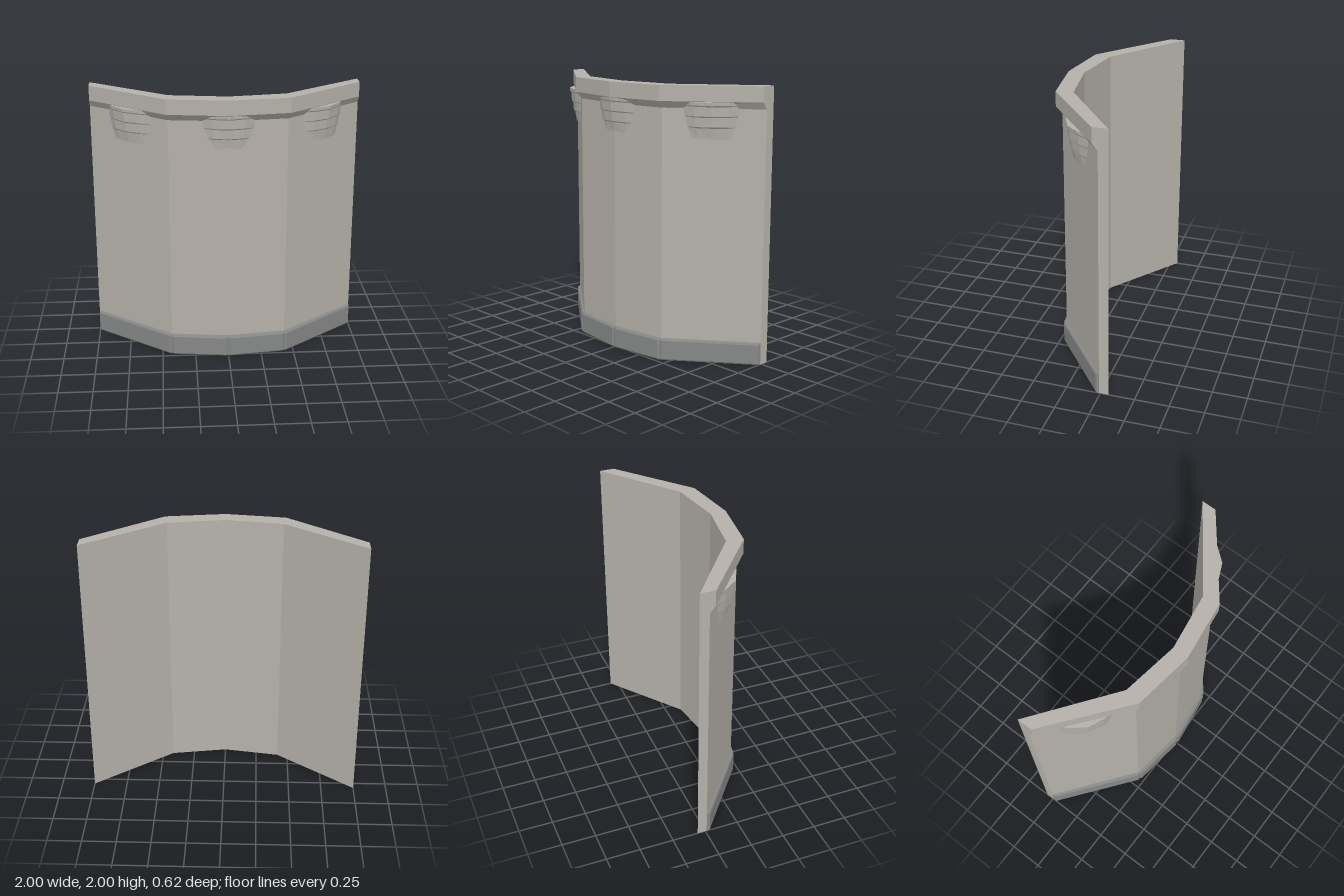
import * as THREE from 'three';

const stone = new THREE.MeshStandardMaterial({ color: 0xb5b1a9 });
stone.name = 'warm grey stone';
const plinth = new THREE.MeshStandardMaterial({ color: 0x868787 });
plinth.name = 'dark grey plinth';

// Plan lines [x, z], from the left edge of the plan to the right
const mirrored = (end, corner, mid) => [[-1, end], [-corner[0], corner[1]], [0, mid], corner, [1, end]];
const backLine = mirrored(-0.31, [0.42, 0.12], 0.185);
const wallLine = mirrored(-0.24, [0.428, 0.2], 0.255);
const baseLine = mirrored(-0.215, [0.435, 0.225], 0.282);
const corniceLine = mirrored(-0.2, [0.44, 0.243], 0.303);

const mix = (a, b, t) => [a[0] + (b[0] - a[0]) * t, a[1] + (b[1] - a[1]) * t];
const at = (p, y) => [p[0], y, p[1]];

// Flat-faced loft through closed convex rings, capped at both ends
function loft(name, rings, material) {
  const n = rings[0].length;
  const index = [];
  for (let i = 0; i < rings.length - 1; i++) {
    for (let j = 0; j < n; j++) {
      const a = i * n + j, b = i * n + (j + 1) % n;
      index.push(a, a + n, b + n, a, b + n, b);
    }
  }
  const last = (rings.length - 1) * n;
  for (let j = 1; j < n - 1; j++) {
    index.push(0, j, j + 1, last, last + j + 1, last + j);
  }
  const indexed = new THREE.BufferGeometry();
  indexed.setAttribute('position', new THREE.Float32BufferAttribute(rings.flat(2), 3));
  indexed.setIndex(index);
  const geometry = indexed.toNonIndexed();
  geometry.computeVertexNormals();
  const mesh = new THREE.Mesh(geometry, material);
  mesh.name = name;
  return mesh;
}

// Bevelled skirting block on one wall segment
function baseBlock(i) {
  const length = Math.hypot(wallLine[i + 1][0] - wallLine[i][0], wallLine[i + 1][1] - wallLine[i][1]);
  const inset = 0.018 / length;
  const section = (t, depth) => {
    const w = mix(wallLine[i], wallLine[i + 1], t);
    const f = mix(w, mix(baseLine[i], baseLine[i + 1], t), depth);
    const bevel = mix(w, f, 0.7);
    return [at(w, 0), at(bevel, 0), at(f, 0.01), at(f, 0.148), at(bevel, 0.16), at(w, 0.164)];
  };
  // The outer ends of the wall stay square
  const rings = [];
  rings.push(section(0, i === 0 ? 1 : 0.5));
  if (i > 0) rings.push(section(inset, 1));
  if (i < 3) rings.push(section(1 - inset, 1));
  rings.push(section(1, i === 3 ? 1 : 0.5));
  return loft('baseBlock', rings, plinth);
}

// Stepped, tapering bracket with a faceted front
function corbel(name, x, z, angle) {
  const tiers = [ // height, half width, depth
    [1.63, 0.14, 0.025],
    [1.705, 0.163, 0.037], [1.714, 0.17, 0.047],
    [1.78, 0.181, 0.052], [1.789, 0.187, 0.062],
    [1.855, 0.196, 0.066], [1.864, 0.202, 0.075],
    [1.887, 0.205, 0.077],
  ];
  const rings = tiers.map(([y, w, d]) => [
    [w, y, -0.02], [w, y, 0], [w * 0.62, y, d * 0.62], [0, y, d],
    [-w * 0.62, y, d * 0.62], [-w, y, 0], [-w, y, -0.02],
  ]);
  const mesh = loft(name, rings, stone);
  mesh.position.set(x, 0, z);
  mesh.rotation.y = angle;
  return mesh;
}

export function createModel() {
  const model = new THREE.Group();
  model.name = 'facetedWall';

  // Wall panel
  model.add(loft('wall', wallLine.map((w, i) => {
    const b = backLine[i];
    return [at(b, 0), at(w, 0), at(w, 1.84), at(b, 1.84)];
  }), stone));

  // Cornice with a sloping underside
  model.add(loft('cornice', corniceLine.map((c, i) => {
    const b = backLine[i], w = wallLine[i];
    return [at(b, 1.84), at(w, 1.84), at(c, 1.89), at(c, 2), at(b, 2)];
  }), stone));

  // Skirting
  for (let i = 0; i < 4; i++) model.add(baseBlock(i));

  // Corbels under the cornice
  model.add(corbel('middleCorbel', 0, 0.228, 0));
  for (const side of [-1, 1]) {
    model.add(corbel(side > 0 ? 'leftCorbel' : 'rightCorbel', side * 0.7, -0.01, side * 0.656));
  }
  return model;
}
